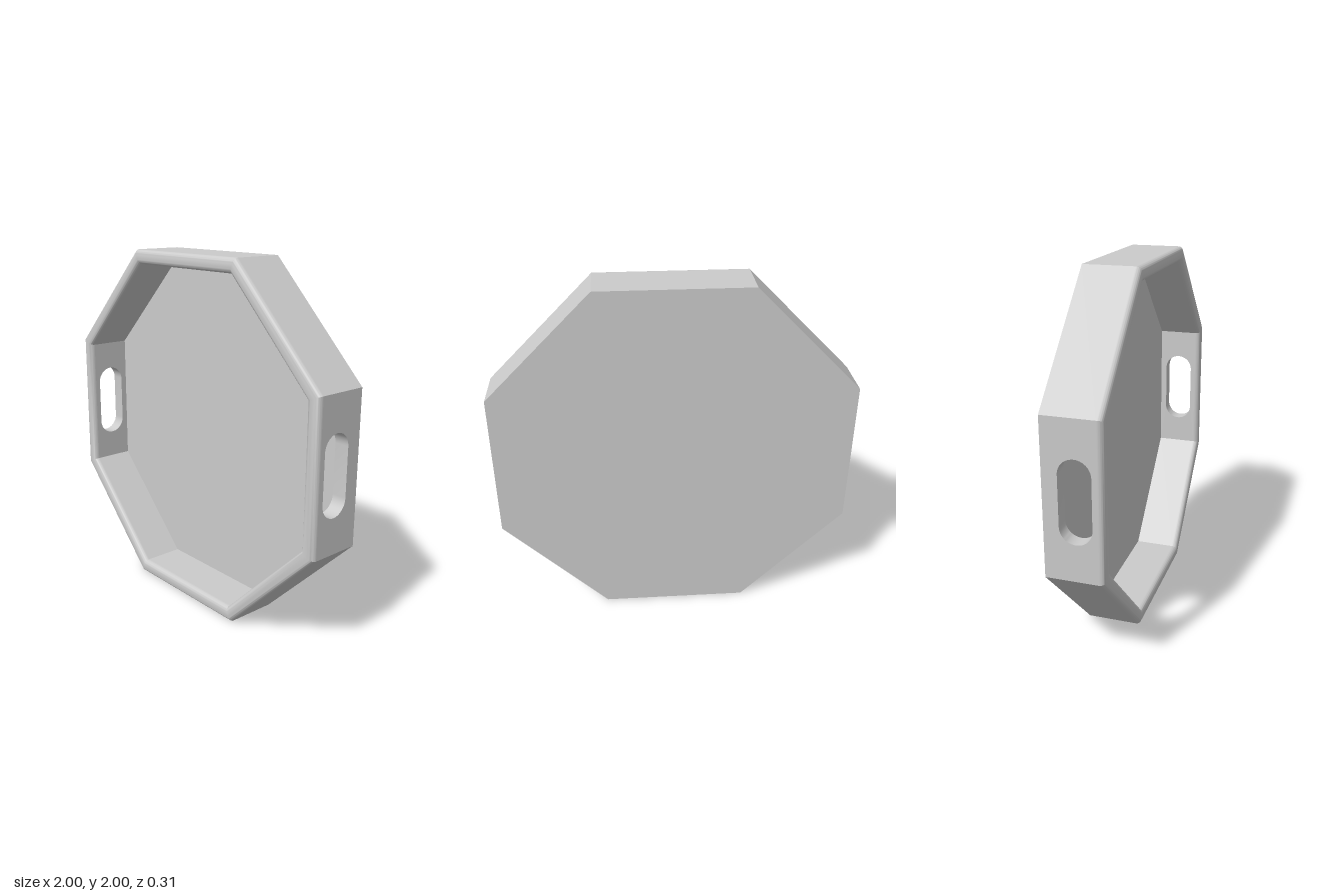
import * as THREE from 'three';
import { mergeGeometries, toCreasedNormals } from 'three/addons/utils/BufferGeometryUtils.js';

const OUTER = 1, INNER = 0.92;                     // distance from centre to flat sides
const BACK = -0.153, FLOOR = -0.108, FRONT = 0.153;
const ROUND = 0.03;                                // rounding of the rim edges
const EDGE = FRONT - ROUND;
const SLOT = { z: 0.011, radius: 0.084, half: 0.133 };
const TAN = Math.tan(Math.PI / 8);

// Closed pill outline of a grip slot; u runs along the wall, v through its depth
function slotPath() {
  const path = new THREE.Path();
  path.absarc(SLOT.half, SLOT.z, SLOT.radius, -Math.PI / 2, Math.PI / 2, false);
  path.absarc(-SLOT.half, SLOT.z, SLOT.radius, Math.PI / 2, Math.PI * 1.5, false);
  path.closePath();
  return path;
}

// Flat wall face on one side of the octagon, facing outward (1) or inward (-1)
function wallFace(side, apothem, z0, facing) {
  const w = apothem * TAN;
  const shape = new THREE.Shape([[-w, z0], [w, z0], [w, EDGE], [-w, EDGE]].map(p => new THREE.Vector2(...p)));
  if (side % 4 === 0) shape.holes.push(slotPath());
  const angle = side * Math.PI / 4;
  const n = new THREE.Vector3(Math.cos(angle), Math.sin(angle), 0).multiplyScalar(facing);
  const depth = new THREE.Vector3(0, 0, 1);
  const along = depth.clone().cross(n);
  const m = new THREE.Matrix4().makeBasis(along, depth, n);
  m.setPosition(n.clone().multiplyScalar(apothem * facing));
  return new THREE.ShapeGeometry(shape, 12).applyMatrix4(m);
}

// Ribbon of quads joining two rows of [x, y, z] points
function ribbon(rowA, rowB) {
  const pos = [];
  for (let i = 0; i < rowA.length - 1; i++) {
    const a = rowA[i], b = rowB[i], c = rowB[i + 1], d = rowA[i + 1];
    pos.push(...a, ...b, ...c, ...a, ...c, ...d);
  }
  const g = new THREE.BufferGeometry();
  g.setAttribute('position', new THREE.Float32BufferAttribute(pos, 3));
  return g;
}

// Mitred rounded rim: cross-section swept along the eight sides
function rimGeometry() {
  const profile = [];
  const steps = 10;
  for (const [centre, start] of [[INNER + ROUND, Math.PI], [OUTER - ROUND, Math.PI / 2]]) {
    for (let i = 0; i <= steps; i++) {
      const t = start - (i / steps) * Math.PI / 2;
      profile.push([centre + ROUND * Math.cos(t), EDGE + ROUND * Math.sin(t)]);
    }
  }
  const corner = (k) => profile.map(([a, z]) => {
    const r = a / Math.cos(Math.PI / 8), t = (k - 0.5) * Math.PI / 4;
    return [r * Math.cos(t), r * Math.sin(t), z];
  });
  const sides = [];
  for (let k = 0; k < 8; k++) sides.push(ribbon(corner(k + 1), corner(k)));
  return toCreasedNormals(mergeGeometries(sides), 0.5);
}

// Inside surface of a grip slot through the +x wall
function slotGeometry() {
  const pts = slotPath().getPoints(12);
  const row = (x) => pts.map(p => [x, p.x, p.y]);
  return toCreasedNormals(ribbon(row(INNER), row(OUTER)), 0.5);
}

export function createModel() {
  const group = new THREE.Group();
  group.name = 'octagonalTray';
  const body = new THREE.Group();
  body.name = 'trayBody';
  body.position.y = 1;
  group.add(body);

  const material = new THREE.MeshStandardMaterial({ color: 0xcccccc });
  const add = (name, geometry) => {
    const mesh = new THREE.Mesh(geometry, material);
    mesh.name = name;
    body.add(mesh);
    return mesh;
  };

  // Floor inside the tray and flat back
  const octagon = (a) => new THREE.CircleGeometry(a / Math.cos(Math.PI / 8), 8, Math.PI / 8);
  add('floor', octagon(INNER).translate(0, 0, FLOOR));
  add('back', octagon(OUTER).rotateY(Math.PI).translate(0, 0, BACK));

  // Walls, inside and outside
  const sides = [...Array(8).keys()];
  add('outerWalls', mergeGeometries(sides.map(i => wallFace(i, OUTER, BACK, 1))));
  add('innerWalls', mergeGeometries(sides.map(i => wallFace(i, INNER, FLOOR, -1))));
  add('rim', rimGeometry());

  // Grip slots on both sides
  add('leftGripSlot', slotGeometry());
  add('rightGripSlot', slotGeometry().rotateZ(Math.PI));

  return group;
}
